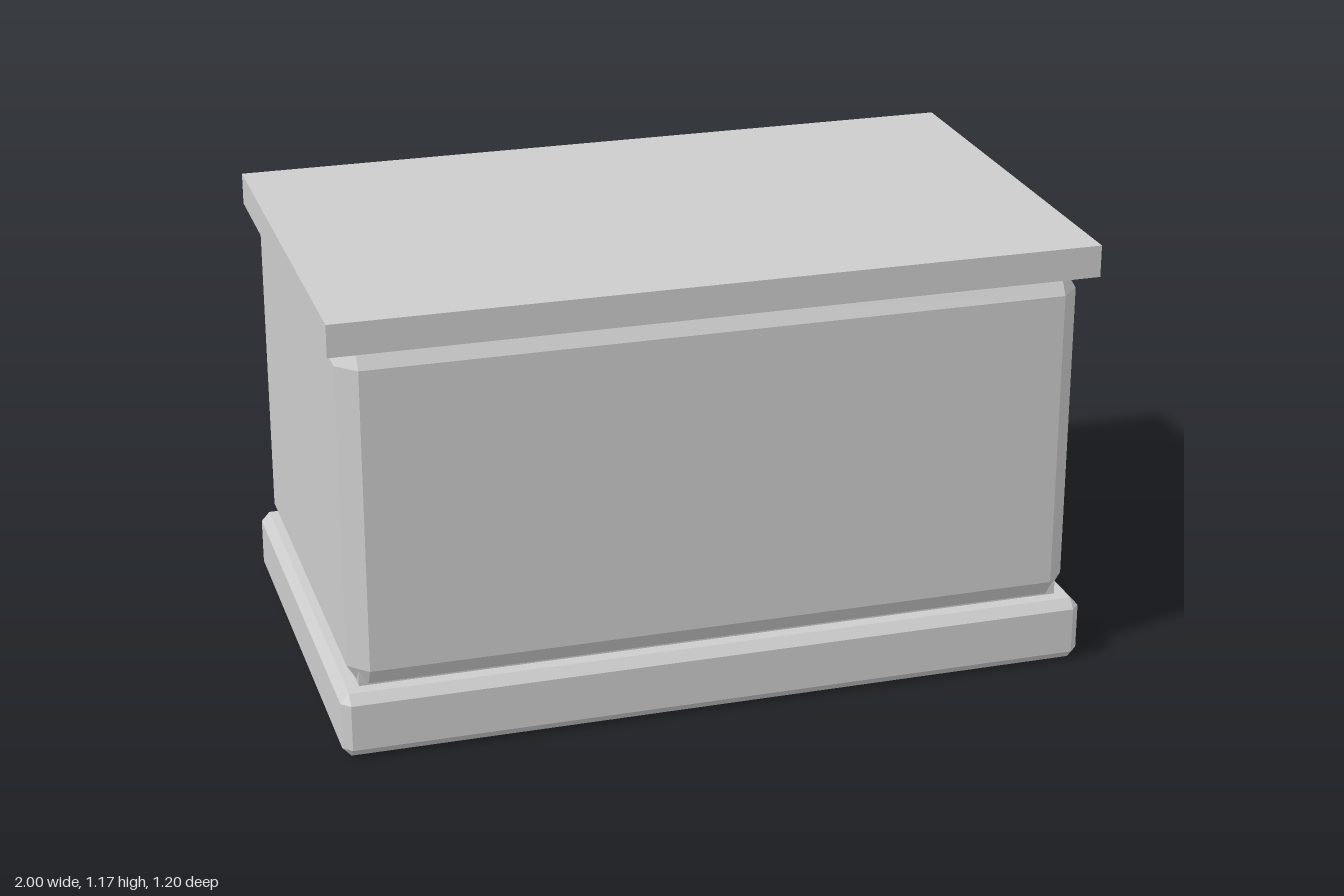
import * as THREE from 'three';
import { ConvexGeometry } from 'three/addons/geometries/ConvexGeometry.js';

// Box with every edge chamfered: b is the inset sideways, by the inset in height
function chamferedBox(hx, hz, y0, y1, b, by) {
  const points = [];
  const hy = (y1 - y0) / 2;
  for (const sx of [-1, 1]) for (const sy of [-1, 1]) for (const sz of [-1, 1]) {
    const add = (x, y, z) => points.push(new THREE.Vector3(sx * x, sy * y, sz * z));
    add(hx, hy - by, hz - b);
    add(hx - b, hy, hz - b);
    add(hx - b, hy - by, hz);
  }
  return new ConvexGeometry(points).translate(0, (y0 + y1) / 2, 0);
}

function plainBox(hx, hz, y0, y1) {
  return new THREE.BoxGeometry(hx * 2, y1 - y0, hz * 2).translate(0, (y0 + y1) / 2, 0);
}

export function createModel() {
  const group = new THREE.Group();
  group.name = 'pedestal';
  const stone = new THREE.MeshStandardMaterial({ color: 0xcccccc });
  stone.name = 'light grey stone';

  const parts = {
    base: chamferedBox(1, 0.6, 0, 0.175, 0.023, 0.025),
    // The neck corners show just below the body's chamfered corners
    neck: plainBox(0.945, 0.542, 0.15, 0.25),
    body: chamferedBox(0.97, 0.57, 0.143, 1.118, 0.05, 0.082),
    topSlab: plainBox(1, 0.6, 1.09, 1.175),
  };
  for (const [name, geometry] of Object.entries(parts)) {
    const mesh = new THREE.Mesh(geometry, stone);
    mesh.name = name;
    group.add(mesh);
  }
  return group;
}
